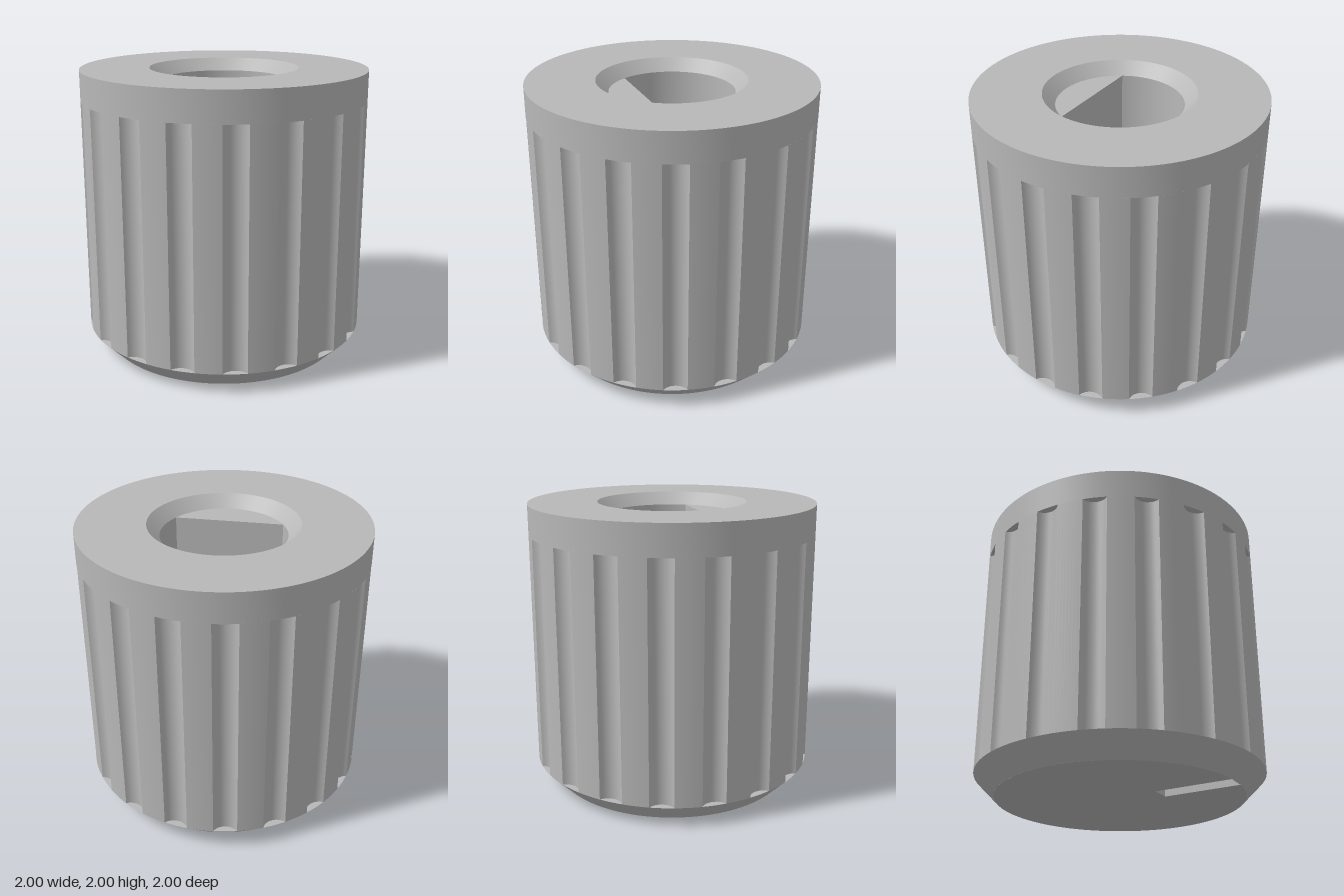
import * as THREE from 'three';
import { toCreasedNormals } from 'three/addons/utils/BufferGeometryUtils.js';

const grey = new THREE.MeshStandardMaterial({ color: 0xb8b8b8 });
grey.name = 'grey';

const GROOVES = 18, HALF_GROOVE = 0.0826; // half angle of a groove on the rim
const BOTTOM = 0.145, GROOVE_TOP = 1.79, LEDGE = 1.915;
const BORE = 0.435, FLAT_Z = 0.215, BORE_FLOOR = 0.6;

function part(name, geometry) {
  const mesh = new THREE.Mesh(toCreasedNormals(geometry, 0.5), grey);
  mesh.name = name;
  return mesh;
}

// Upright prism: shape x,y become x,z
function prism(shape, y0, y1) {
  return new THREE.ExtrudeGeometry(shape, { depth: y1 - y0, bevelEnabled: false, curveSegments: 48 })
    .rotateX(Math.PI / 2).translate(0, y1, 0);
}

function lathe(points) {
  return new THREE.LatheGeometry(points.map(([r, y]) => new THREE.Vector2(r, y)), 144);
}

function disc(radius) {
  return new THREE.Shape().absarc(0, 0, radius, 0, Math.PI * 2, false);
}

// Round outline with evenly spaced concave flutes
function flutedShape() {
  const pts = [], step = Math.PI * 2 / GROOVES;
  const centre = 1.046, radius = 0.096, sweep = 1.03;
  for (let k = 0; k < GROOVES; k++) {
    const a = k * step;
    for (let i = 1; i < 12; i++) {
      const b = a + Math.PI + sweep * (1 - i / 6);
      pts.push(new THREE.Vector2(
        centre * Math.cos(a) + radius * Math.cos(b),
        centre * Math.sin(a) + radius * Math.sin(b)));
    }
    for (let i = 0; i <= 8; i++) {
      const b = a + HALF_GROOVE + (step - 2 * HALF_GROOVE) * i / 8;
      pts.push(new THREE.Vector2(Math.cos(b), Math.sin(b)));
    }
  }
  return new THREE.Shape(pts);
}

export function createModel() {
  const knob = new THREE.Group();
  knob.name = 'knob';

  // Fluted grip
  const grip = flutedShape();
  grip.holes.push(new THREE.Path().absarc(0, 0, 0.48, 0, Math.PI * 2, true));
  knob.add(part('flutedGrip', prism(grip, BOTTOM, GROOVE_TOP)));

  // Plain collar with a countersunk opening
  knob.add(part('collar', lathe([[0.93, GROOVE_TOP], [1, GROOVE_TOP], [1, 2], [0.52, 2], [BORE, LEDGE]])));

  // D-shaped shaft bore; its flat side ends in a ledge below the countersink
  const sleeve = disc(0.5);
  const end = Math.asin(FLAT_Z / BORE);
  sleeve.holes.push(new THREE.Path().absarc(0, 0, BORE, end, Math.PI - end, true).closePath());
  knob.add(part('shaftBore', prism(sleeve, BORE_FLOOR, LEDGE)));
  knob.add(part('boreFloor', prism(disc(0.5), BORE_FLOOR - 0.05, BORE_FLOOR)));

  // Chamfered lower edge
  knob.add(part('chamfer', lathe([[0.857, 0], [1, BOTTOM], [0.93, BOTTOM]])));

  // End face with the pointer slot
  const face = disc(0.857);
  face.holes.push(new THREE.Path([[-0.07, 0.31], [-0.07, 0.852], [0.07, 0.852], [0.07, 0.31]]
    .map(([x, z]) => new THREE.Vector2(x, z))));
  knob.add(part('endFace', prism(face, 0, 0.075)));
  knob.add(part('slotFloor', new THREE.BoxGeometry(0.16, 0.02, 0.56).translate(0, 0.085, 0.58)));

  return knob;
}
